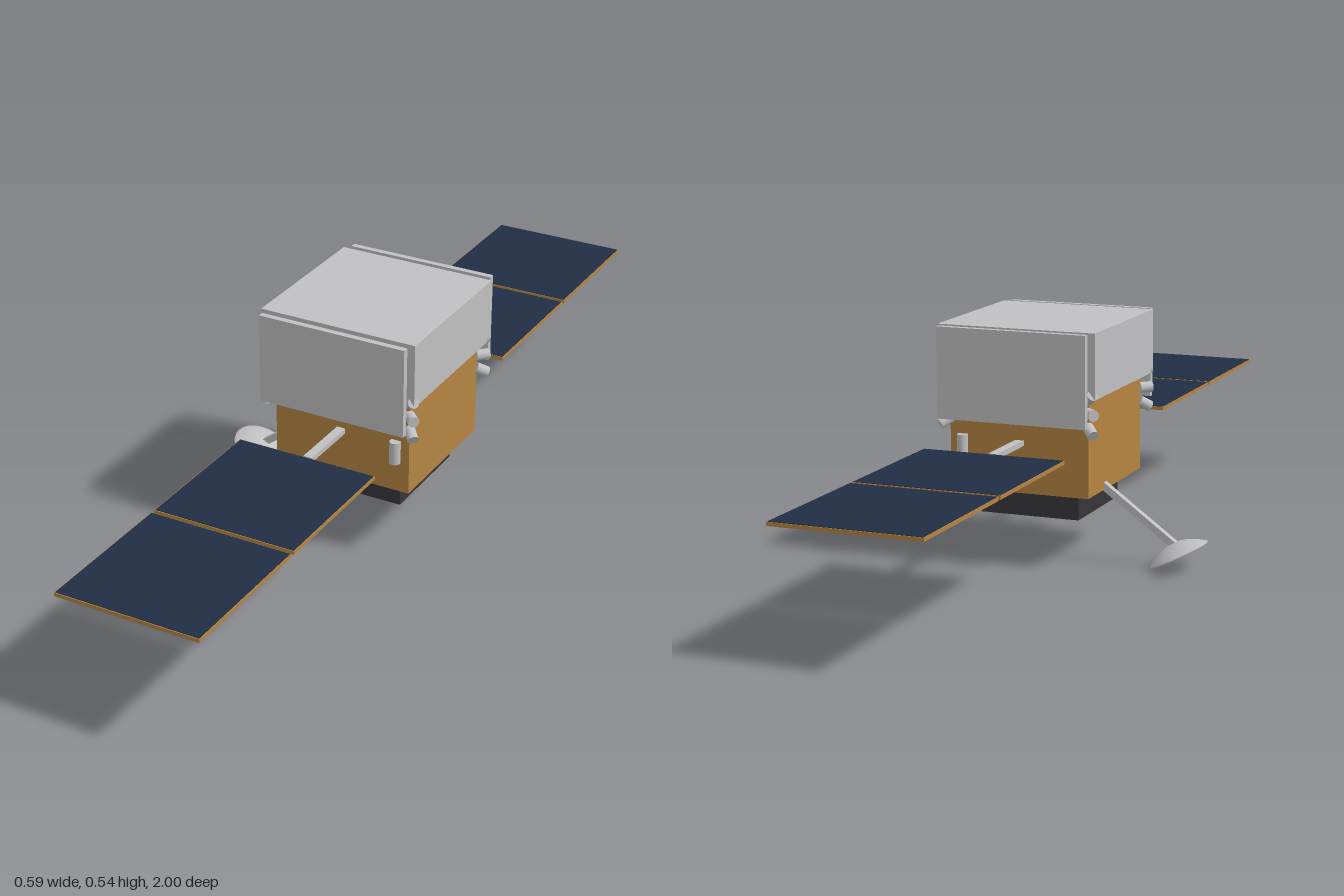
import * as THREE from 'three';

const material = (name, color, side = THREE.FrontSide) => {
  const m = new THREE.MeshStandardMaterial({ color, side });
  m.name = name;
  return m;
};

export function createModel() {
  const model = new THREE.Group();
  model.name = 'satellite';
  const grey = material('light grey', 0xc0c0c2, THREE.DoubleSide);
  const gold = material('gold foil', 0xb58442);
  const navy = material('solar navy', 0x202d44);
  const dark = material('dark grey', 0x37353b);
  const CX = 0.1025; // body centre in x

  const add = (name, geometry, mat, x = 0, y = 0, z = 0) => {
    const mesh = new THREE.Mesh(geometry, mat);
    mesh.name = name;
    mesh.position.set(x, y, z);
    model.add(mesh);
    return mesh;
  };
  // Box given by its width, bottom, top, depth and centre
  const box = (name, mat, w, y0, y1, d, x = CX, z = 0) =>
    add(name, new THREE.BoxGeometry(w, y1 - y0, d), mat, x, (y0 + y1) / 2, z);
  // Turn a part's own +y axis to a direction
  const aim = (mesh, dir) =>
    mesh.quaternion.setFromUnitVectors(new THREE.Vector3(0, 1, 0), dir.clone().normalize());

  // Body
  box('foilBody', gold, 0.328, 0.168, 0.395, 0.328, 0.104);
  box('upperModule', grey, 0.371, 0.392, 0.538, 0.368);
  box('baseUnit', dark, 0.247, 0.107, 0.168, 0.246, 0.103);

  for (const s of [1, -1]) {
    // Radiator, sensor and solar wing on the front and back
    box('radiatorPlate', grey, 0.349, 0.332, 0.537, 0.014, 0.103, s * 0.206);
    add('sensorTube', new THREE.CylinderGeometry(0.0125, 0.0125, 0.052, 20), grey, 0.237, 0.266, s * 0.17);
    box('wingArm', grey, 0.02, 0.275, 0.287, 0.152, 0.102, s * 0.236);
    for (const [z0, z1] of [[0.312, 0.65], [0.66, 1]]) {
      const z = s * (z0 + z1) / 2;
      box('panelBack', gold, 0.328, 0.277, 0.285, z1 - z0, 0.1, z);
      box('solarCells', navy, 0.324, 0.285, 0.286, z1 - z0 - 0.004, 0.1, z);
    }

    // Three thrusters fanned up, out and down at each corner
    for (const sx of [1, -1]) {
      [[0.388, 0.55], [0.358, 0], [0.328, -0.55]].forEach(([y, tilt]) => {
        const dir = new THREE.Vector3(sx, tilt * Math.SQRT2, s).normalize();
        const start = new THREE.Vector3(0.104 + sx * 0.162, y, s * 0.162);
        const p = start.addScaledVector(dir, 0.0155);
        const t = add('thruster', new THREE.CylinderGeometry(0.0125, 0.0125, 0.031, 18), grey, p.x, p.y, p.z);
        aim(t, dir);
      });
    }
  }

  // Antenna boom
  const a = new THREE.Vector3(-0.055, 0.179, -0.062);
  const b = new THREE.Vector3(-0.224, 0.056, -0.062);
  const mid = a.clone().add(b).multiplyScalar(0.5);
  const boom = add('antennaBoom', new THREE.BoxGeometry(0.016, a.distanceTo(b), 0.016), grey, mid.x, mid.y, mid.z);
  boom.rotation.z = Math.atan2(b.x - a.x, a.y - b.y) + Math.PI;

  // Shallow dish, hollow side down and outward
  const profile = [];
  const N = 10;
  for (let i = 0; i <= N; i++) {
    const r = i / N;
    profile.push(new THREE.Vector2(0.066 * r, 0.026 * (1 - r * r)));
  }
  profile.push(new THREE.Vector2(0.07, 0));
  for (let i = N; i >= 0; i--) {
    const r = i / N;
    profile.push(new THREE.Vector2(0.07 * r, 0.003 + 0.027 * (1 - r * r)));
  }
  const dish = add('antennaDish', new THREE.LatheGeometry(profile, 40), grey, -0.2355, 0.0335, -0.062);
  aim(dish, new THREE.Vector3(0.45, 0.893, 0));

  return model;
}
